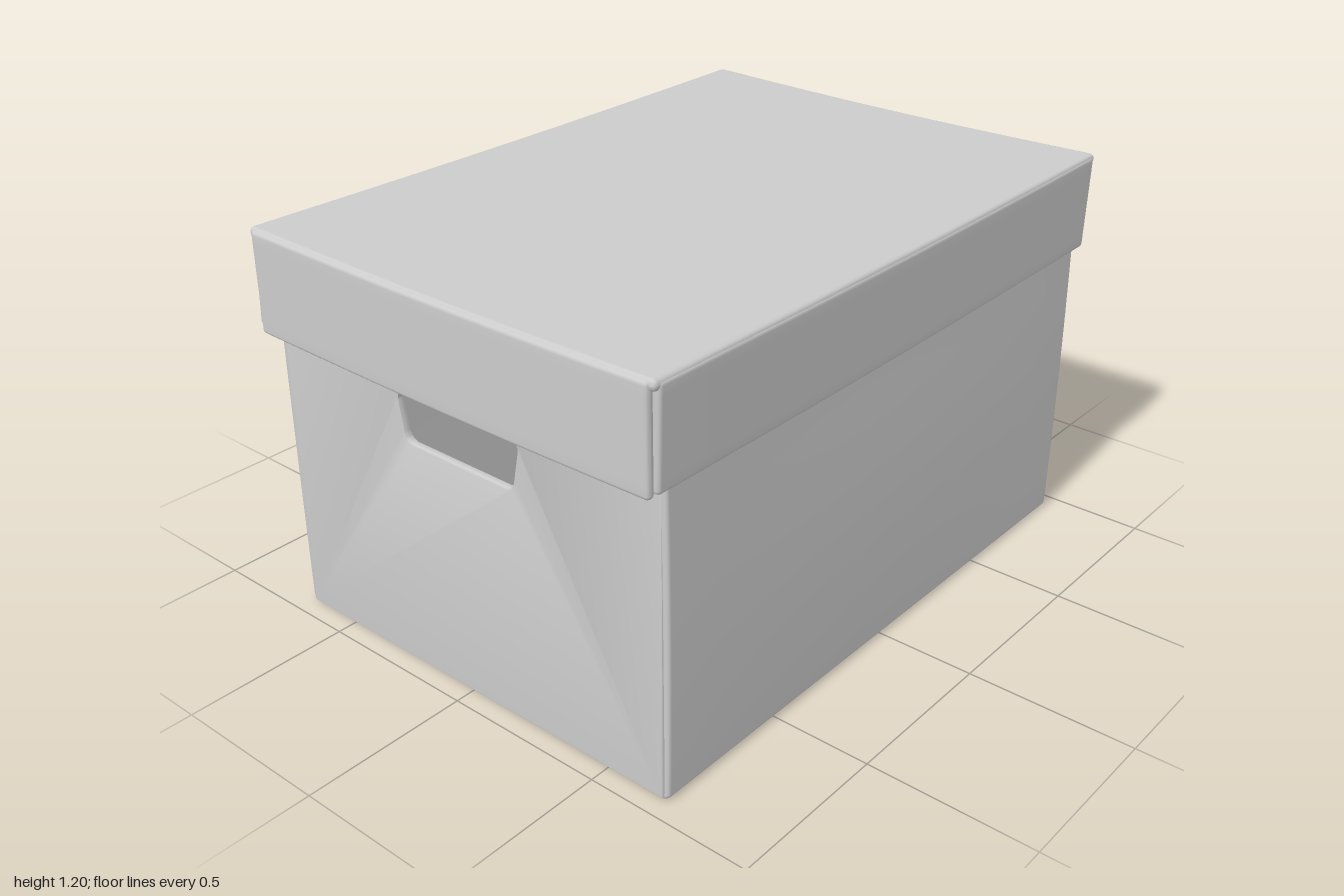
import * as THREE from 'three';
import { mergeVertices, toCreasedNormals } from 'three/addons/utils/BufferGeometryUtils.js';

const material = new THREE.MeshStandardMaterial({ color: 0xcccccc });
const SEGMENTS = 14;
const CARD = 0.025; // cardboard thickness

// Spread grid lines so that two of them fall inside each rounded edge
function gridLine(t, half, r) {
  const i = Math.round((t / (2 * half) + 0.5) * SEGMENTS);
  if (i <= 2) return -half + (r * i) / 2;
  if (i >= SEGMENTS - 2) return half - (r * (SEGMENTS - i)) / 2;
  return (half - r) * (((i - 2) / (SEGMENTS - 4)) * 2 - 1);
}

// Soft-edged cardboard panel given by its extents, then bent by a rule
function panel(name, [x0, x1], [y0, y1], [z0, z1], bend) {
  const size = new THREE.Vector3(x1 - x0, y1 - y0, z1 - z0);
  const half = size.clone().multiplyScalar(0.5);
  const center = new THREE.Vector3(x0 + x1, y0 + y1, z0 + z1).multiplyScalar(0.5);
  const r = 0.45 * Math.min(size.x, size.y, size.z);
  const limit = half.clone().subScalar(r);
  let geo = new THREE.BoxGeometry(size.x, size.y, size.z, SEGMENTS, SEGMENTS, SEGMENTS);
  const pos = geo.attributes.position;
  const v = new THREE.Vector3();
  const core = new THREE.Vector3();
  for (let i = 0; i < pos.count; i++) {
    v.fromBufferAttribute(pos, i);
    v.set(gridLine(v.x, half.x, r), gridLine(v.y, half.y, r), gridLine(v.z, half.z, r));
    core.copy(v).clamp(limit.clone().negate(), limit);
    v.sub(core).setLength(r).add(core).add(center);
    if (bend) bend(v);
    pos.setXYZ(i, v.x, v.y, v.z);
  }
  geo.deleteAttribute('uv');
  geo.deleteAttribute('normal');
  geo = mergeVertices(geo, 1e-5);
  geo.computeVertexNormals();
  const mesh = new THREE.Mesh(geo, material);
  mesh.name = name;
  return mesh;
}

// Tapered hand hole with rounded corners
function handHole() {
  const p = new THREE.Path();
  p.moveTo(-0.165, 0.707);
  p.lineTo(0.175, 0.707);
  p.quadraticCurveTo(0.2, 0.707, 0.206, 0.735);
  p.lineTo(0.224, 0.825);
  p.quadraticCurveTo(0.227, 0.848, 0.195, 0.853);
  p.quadraticCurveTo(0.005, 0.876, -0.18, 0.853);
  p.quadraticCurveTo(-0.217, 0.848, -0.213, 0.825);
  p.lineTo(-0.198, 0.735);
  p.quadraticCurveTo(-0.193, 0.707, -0.165, 0.707);
  return p;
}

// End wall with a hand hole, leaning by a small amount towards its top
function endWall(name, z, lean) {
  const shape = new THREE.Shape();
  shape.moveTo(-0.678, 0.005);
  shape.lineTo(0.692, 0.005);
  shape.lineTo(0.692, 1.15);
  shape.lineTo(-0.678, 1.15);
  shape.closePath();
  shape.holes.push(handHole());
  const b = 0.006;
  let geo = new THREE.ExtrudeGeometry(shape, {
    depth: CARD - 2 * b, curveSegments: 8,
    bevelEnabled: true, bevelThickness: b, bevelSize: b, bevelOffset: -b, bevelSegments: 2,
  });
  const pos = geo.attributes.position;
  for (let i = 0; i < pos.count; i++) {
    pos.setZ(i, pos.getZ(i) + b - CARD / 2 + z + lean * pos.getY(i));
  }
  geo = toCreasedNormals(geo, 0.7);
  const mesh = new THREE.Mesh(geo, material);
  mesh.name = name;
  return mesh;
}

export function createModel() {
  const model = new THREE.Group();
  model.name = 'storageBox';

  // Open box: floor, two end walls and two slightly bulging side walls
  const body = new THREE.Group();
  body.name = 'boxBody';
  const bulge = (amount) => (v) => {
    v.x += amount * Math.sin(Math.PI * Math.min(1, v.y / 0.95)) * Math.cos((v.z * Math.PI) / 2.6);
  };
  body.add(
    panel('boxFloor', [-0.69, 0.7], [0, CARD], [-0.945, 0.94]),
    endWall('frontWall', 0.932, -0.006),
    endWall('backWall', -0.942, 0.016),
    panel('rightWall', [-0.695, -0.67], [0.005, 1.15], [-0.945, 0.938], bulge(-0.004)),
    panel('leftWall', [0.68, 0.705], [0.005, 1.15], [-0.945, 0.938], bulge(0.01)),
  );

  // Lid: sagging top with four overhanging skirts
  const lid = new THREE.Group();
  lid.name = 'lid';
  const sag = (v) => {
    v.y -= 0.009 * Math.cos((Math.PI * v.x) / 1.42) + 0.007 * Math.cos((Math.PI * v.z) / 2);
  };
  const sagAcross = (v) => { v.y -= 0.008 * Math.cos((Math.PI * v.x) / 1.42); };
  const leanSide = (amount) => (v) => {
    v.x -= (amount * (1.19 - v.y)) / 0.29;
    v.y -= 0.008 * Math.cos((Math.PI * v.z) / 2);
  };
  lid.add(
    panel('lidTop', [-0.708, 0.722], [1.165, 1.197], [-0.992, 0.992], sag),
    panel('lidFrontSkirt', [-0.692, 0.706], [0.893, 1.192], [0.973, 1], sagAcross),
    panel('lidBackSkirt', [-0.692, 0.706], [0.893, 1.192], [-1, -0.973], sagAcross),
    panel('lidRightSkirt', [-0.712, -0.685], [0.902, 1.19], [-0.982, 0.978], leanSide(0.018)),
    panel('lidLeftSkirt', [0.698, 0.725], [0.902, 1.19], [-0.982, 0.978], leanSide(0.007)),
  );

  model.add(body, lid);
  return model;
}
